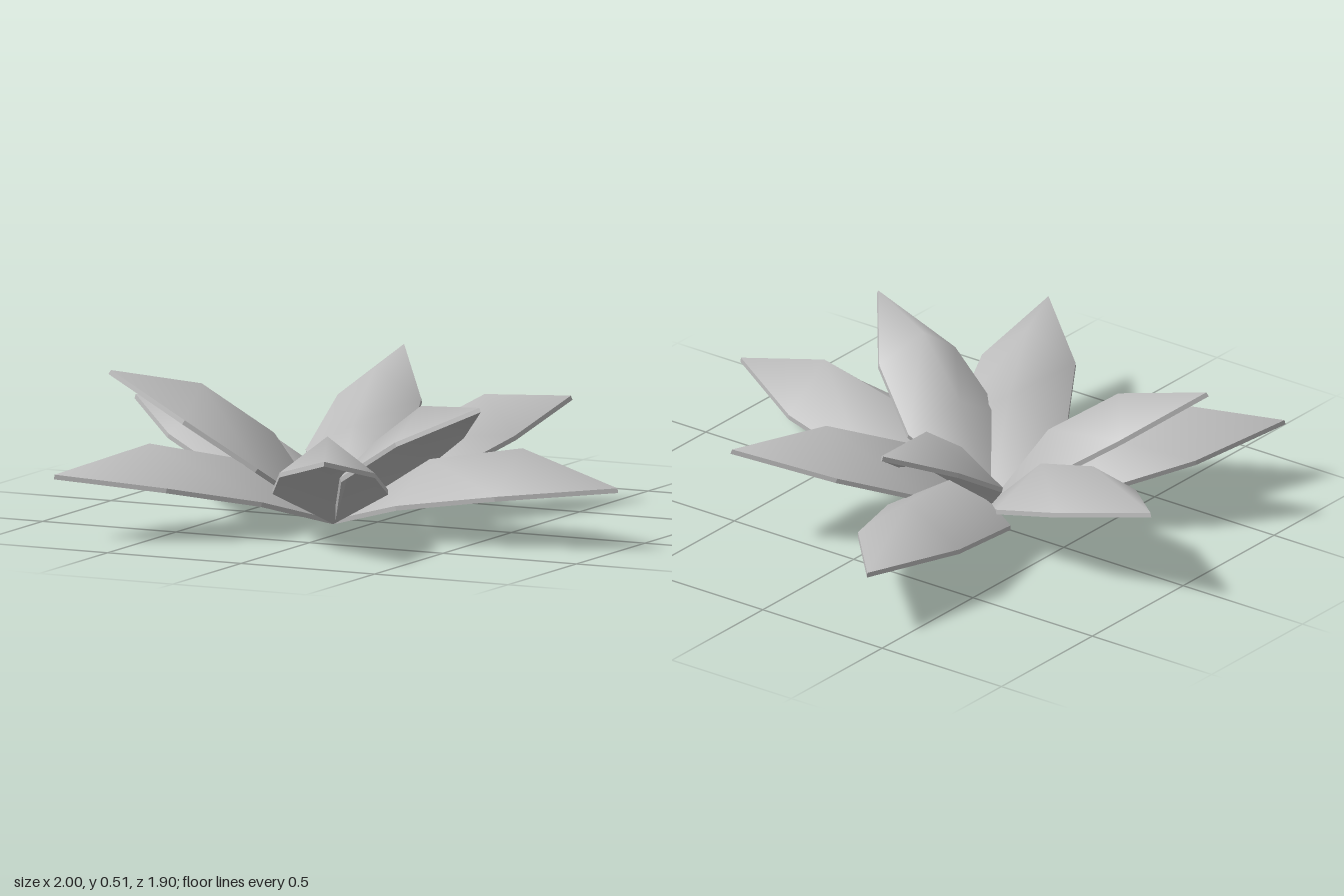
import * as THREE from 'three';
import { mergeGeometries } from 'three/addons/utils/BufferGeometryUtils.js';

// Unit petal along +x: arched rows of three points between a pointed base and tip
function petalGeometry(length) {
  const thickness = 0.016;
  const rows = [
    { ridge: [0.365, 0.148], edge: [0.343, 0.035], half: 0.197 },
    { ridge: [0.692, 0.15], edge: [0.669, 0.027], half: 0.163 },
  ];
  const top = [[0, 0, 0]];
  for (const { ridge, edge, half } of rows) {
    top.push([...edge, -half], [...ridge, 0], [...edge, half]);
  }
  top.push([1, 0, 0]);
  const upper = top.map((p) => p.map((v) => v * length));
  const lower = upper.map(([x, y, z]) => [x, y - thickness, z]);

  // Smooth upper and lower skins
  const faces = [[0, 3, 2], [0, 2, 1], [1, 2, 5], [1, 5, 4], [2, 3, 6], [2, 6, 5], [4, 5, 7], [5, 6, 7]];
  const index = [];
  for (const [a, b, c] of faces) index.push(a, b, c, a + 8, c + 8, b + 8);
  const skin = new THREE.BufferGeometry();
  skin.setAttribute('position', new THREE.Float32BufferAttribute([...upper, ...lower].flat(), 3));
  skin.setIndex(index);
  skin.computeVertexNormals();

  // Sharp rim joining the two skins
  const loop = [0, 1, 4, 7, 6, 3];
  const rimPoints = [];
  loop.forEach((a, i) => {
    const b = loop[(i + 1) % loop.length];
    rimPoints.push(...upper[a], ...upper[b], ...lower[b], ...upper[a], ...lower[b], ...lower[a]);
  });
  const rim = new THREE.BufferGeometry();
  rim.setAttribute('position', new THREE.Float32BufferAttribute(rimPoints, 3));
  rim.computeVertexNormals();

  return mergeGeometries([skin.toNonIndexed(), rim]);
}

export function createModel() {
  const model = new THREE.Group();
  model.name = 'leafRosette';
  const grey = new THREE.MeshStandardMaterial({ color: 0xbcbcbc });
  grey.name = 'grey';

  // All petals spring from one point; each is given by its tip
  const base = new THREE.Vector3(-0.11, 0.016, 0.11);
  const layers = {
    outerPetal: [[0.99, 0.21, 0.18], [-0.4, 0.23, -0.95], [-0.77, 0.225, 0.86]],
    middlePetal: [[0.38, 0.36, -0.67], [0.28, 0.355, 0.94], [-1, 0.335, -0.18]],
    innerPetal: [[0.59, 0.485, 0.41], [-0.23, 0.495, -0.64], [-0.8, 0.51, 0.39]],
  };

  for (const [name, tips] of Object.entries(layers)) {
    tips.forEach((tip, i) => {
      const d = new THREE.Vector3(...tip).sub(base);
      const petal = new THREE.Mesh(petalGeometry(d.length()), grey);
      petal.name = name + (i + 1);
      petal.position.copy(base);
      // Yaw towards the tip, then pitch upwards
      petal.rotation.set(0, Math.atan2(-d.z, d.x), Math.atan2(d.y, Math.hypot(d.x, d.z)), 'YZX');
      model.add(petal);
    });
  }
  return model;
}
